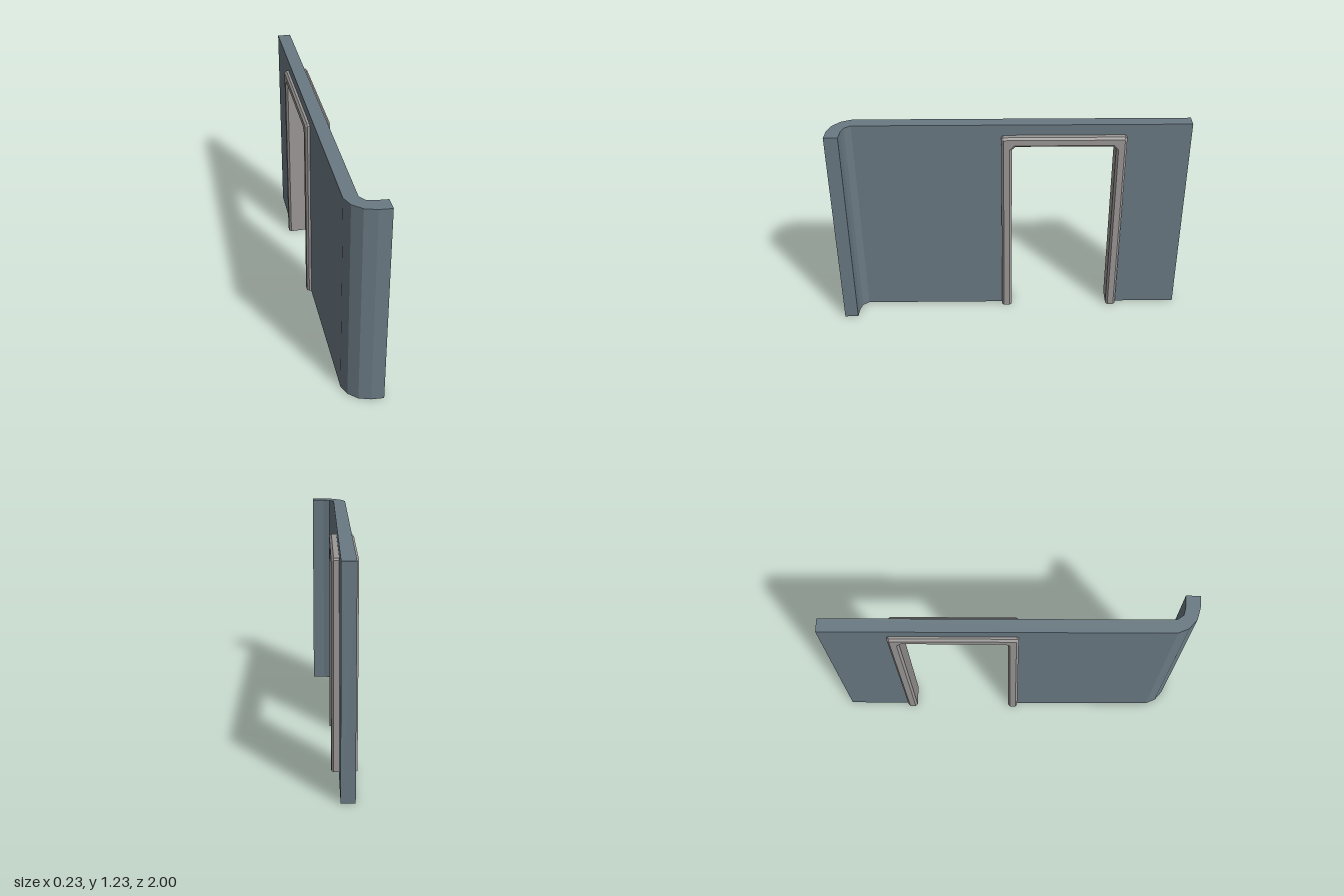
import * as THREE from 'three';

const H = 1.225;            // wall height
const X0 = -0.095, T = 0.075; // wall back face and thickness
const CORNER_Z = 0.87;      // where the wall starts to bend

const wallMat = new THREE.MeshStandardMaterial({ color: 0x6a7a83, flatShading: true });
const frameMat = new THREE.MeshStandardMaterial({ color: 0x9b9896, flatShading: true });

const shapeOf = (pts) => new THREE.Shape(pts.map(([x, y]) => new THREE.Vector2(x, y)));

function part(name, geometry, material) {
  const mesh = new THREE.Mesh(geometry, material);
  mesh.name = name;
  return mesh;
}

// Long flat wall with a doorway notch, drawn as (-z, y) and extruded along x
function wallPanel() {
  const shape = shapeOf([
    [-CORNER_Z, 0], [-0.045, 0], [-0.045, 1.15], [0.635, 1.15], [0.635, 0],
    [1, 0], [1, H], [-CORNER_Z, H],
  ]);
  const geo = new THREE.ExtrudeGeometry(shape, { depth: T, bevelEnabled: false });
  return geo.rotateY(Math.PI / 2).translate(X0, 0, 0);
}

// Faceted corner and short return, drawn in plan as (x, -z) and extruded upwards
function wallCorner() {
  const outer = [[X0, 0.87], [-0.07, 0.93], [-0.02, 0.975], [0.045, 0.995], [0.115, 1]];
  const inner = [[0.115, 0.922], [0.045, 0.917], [0.005, 0.905], [-0.02, 0.87]];
  const shape = shapeOf([...outer, ...inner].map(([x, z]) => [x, -z]));
  const geo = new THREE.ExtrudeGeometry(shape, { depth: H, bevelEnabled: false });
  return geo.rotateX(-Math.PI / 2);
}

// Door surround with bevelled edges; the feet are flattened to a level base
function doorFrame() {
  const [l, r, top] = [-0.05, 0.642, 1.162];   // outer edges
  const [li, ri, ti] = [0.008, 0.584, 1.105];  // opening edges
  const c = 0.01, k = 0.02, b = 0.012, foot = -0.05;
  const shape = shapeOf([
    [l, foot], [li, foot], [li, ti - k], [li + k, ti], [ri - k, ti], [ri, ti - k], [ri, foot],
    [r, foot], [r, top - c], [r - c, top], [l + c, top], [l, top - c],
  ]);
  const geo = new THREE.ExtrudeGeometry(shape, {
    depth: 0.14 - 2 * b, bevelEnabled: true, bevelSize: b, bevelThickness: b,
    bevelOffset: -b, bevelSegments: 1,
  });
  const pos = geo.attributes.position;
  for (let i = 0; i < pos.count; i++) if (pos.getY(i) < 0.1) pos.setY(i, 0.005);
  geo.rotateY(Math.PI / 2).translate(-0.12 + b, 0, 0);
  geo.computeVertexNormals();
  return geo;
}

export function createModel() {
  const group = new THREE.Group();
  group.name = 'wallWithDoorway';
  group.add(
    part('wallPanel', wallPanel(), wallMat),
    part('wallCorner', wallCorner(), wallMat),
    part('doorFrame', doorFrame(), frameMat),
  );
  return group;
}
